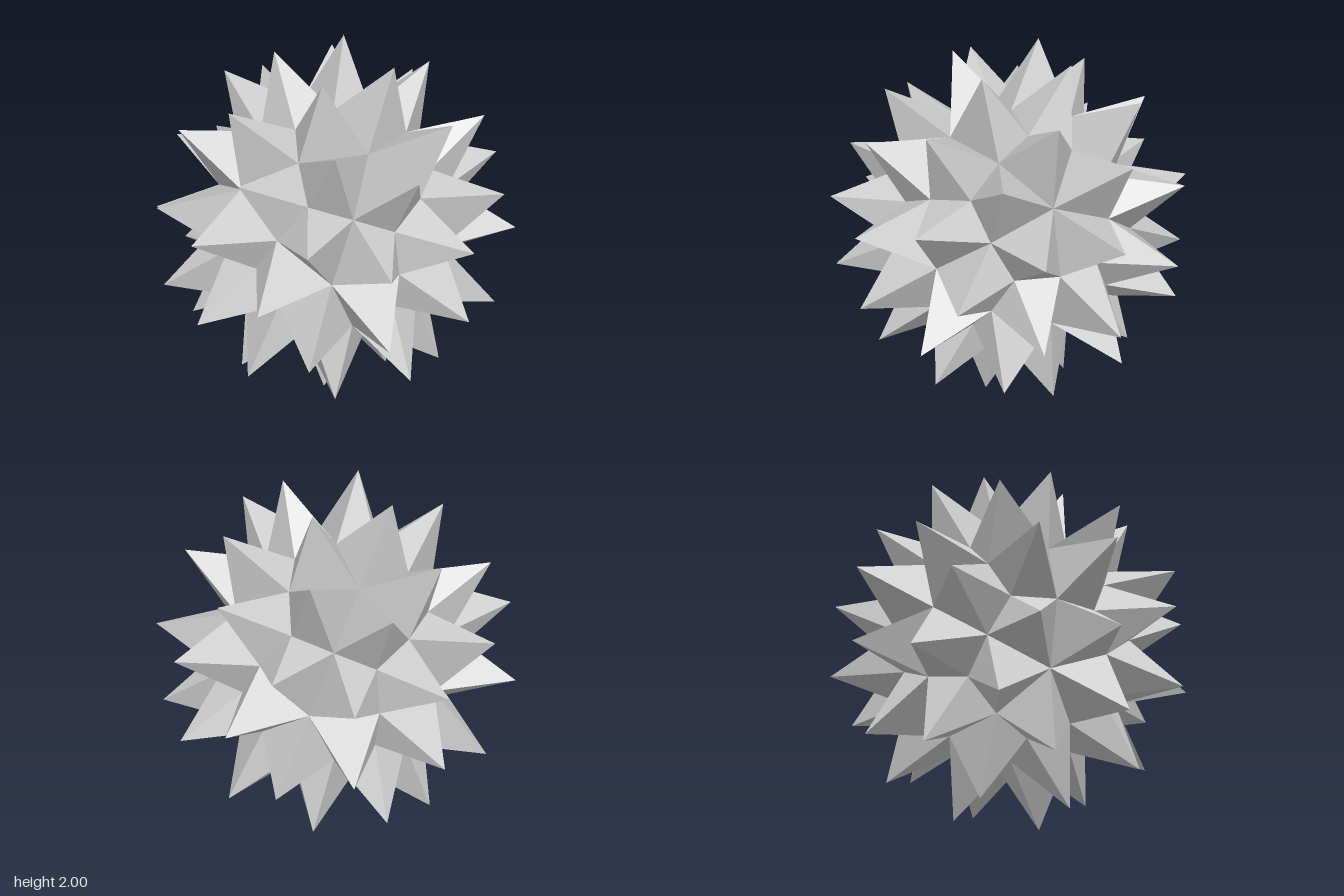
import * as THREE from 'three';

const PHI = (1 + Math.sqrt(5)) / 2;

// All cyclic shifts and sign changes of one direction, as unit vectors
function orbit(x, y, z) {
  const found = [];
  for (const [a, b, c] of [[x, y, z], [z, x, y], [y, z, x]])
    for (const i of [1, -1]) for (const j of [1, -1]) for (const k of [1, -1]) {
      const v = new THREE.Vector3(a * i, b * j, c * k).normalize();
      if (!found.some(f => f.distanceTo(v) < 1e-3)) found.push(v);
    }
  return found;
}

// Symmetry axes of an icosahedron
const fiveFold = orbit(1, 0, PHI);
const threeFold = [...orbit(PHI, 0, 1 / PHI), ...orbit(1, 1, 1)];
const twoFold = [...orbit(0, 0, 1), ...orbit(1 / PHI, 1, PHI)];

const VALLEY = { five: 0.692, three: 0.682, two: 0.692 };
const TIP_RADIUS = 1.056;
const TIP_ANGLE = THREE.MathUtils.degToRad(16.35); // from the three-fold axis

// Four-sided pyramid over the kite between one five-fold and one three-fold axis
function spikeGeometry(five, three) {
  const sides = twoFold.filter(m => m.dot(five) > 0.84 && m.dot(three) > 0.92);
  const span = five.angleTo(three);
  const tip = three.clone().multiplyScalar(Math.sin(span - TIP_ANGLE))
    .addScaledVector(five, Math.sin(TIP_ANGLE))
    .setLength(TIP_RADIUS);
  const base = [
    five.clone().multiplyScalar(VALLEY.five),
    sides[0].clone().multiplyScalar(VALLEY.two),
    three.clone().multiplyScalar(VALLEY.three),
    sides[1].clone().multiplyScalar(VALLEY.two),
  ];
  // Keep the base counter-clockwise seen from outside
  const turn = base[1].clone().sub(base[0]).cross(base[2].clone().sub(base[0]));
  if (turn.dot(tip) < 0) base.reverse();

  const points = [];
  base.forEach((p, i) => points.push(p, base[(i + 1) % 4], tip));
  const geometry = new THREE.BufferGeometry().setFromPoints(points);
  geometry.computeVertexNormals();
  return geometry;
}

export function createModel() {
  const group = new THREE.Group();
  group.name = 'spikedBall';
  const material = new THREE.MeshStandardMaterial({ color: 0xcccccc, flatShading: true });

  // Sixty spikes meeting edge to edge
  for (const five of fiveFold)
    for (const three of threeFold.filter(t => t.dot(five) > 0.79)) {
      const spike = new THREE.Mesh(spikeGeometry(five, three), material);
      spike.name = 'spike';
      spike.position.y = 1;
      group.add(spike);
    }
  return group;
}
